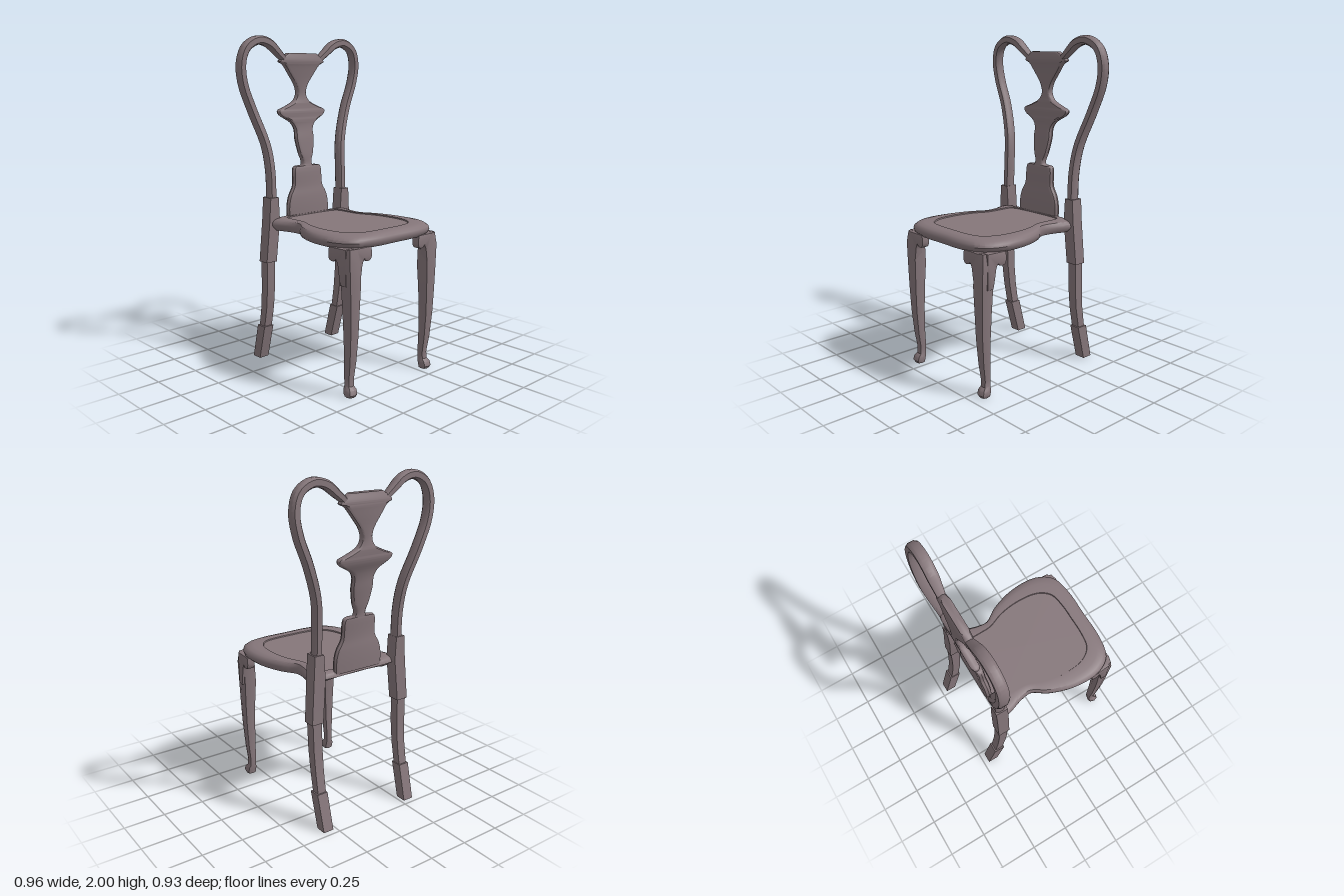
import * as THREE from 'three';
import { toCreasedNormals } from 'three/addons/utils/BufferGeometryUtils.js';

const wood = new THREE.MeshStandardMaterial({ color: 0x85767a });
const V = (x, y, z) => new THREE.Vector3(x, y, z);

// Skin a stack of equal-length rings, cap both ends, turn faces outward
function loft(name, rings, crease = 0.6) {
  const n = rings[0].length, pts = rings.flat(), idx = [];
  for (let i = 0; i < rings.length - 1; i++) {
    for (let j = 0; j < n; j++) {
      const k = (j + 1) % n, a = i * n + j, b = i * n + k, c = a + n, d = b + n;
      idx.push(a, b, d, a, d, c);
    }
  }
  const cap = (start, flip) => {
    const mid = V(0, 0, 0);
    for (let j = 0; j < n; j++) mid.addScaledVector(pts[start + j], 1 / n);
    const m = pts.push(mid) - 1;
    for (let j = 0; j < n; j++) {
      const a = start + j, b = start + (j + 1) % n;
      if (flip) idx.push(m, b, a); else idx.push(m, a, b);
    }
  };
  cap(0, true);
  cap((rings.length - 1) * n, false);
  let volume = 0;
  for (let i = 0; i < idx.length; i += 3) {
    volume += pts[idx[i]].dot(V(0, 0, 0).crossVectors(pts[idx[i + 1]], pts[idx[i + 2]]));
  }
  if (volume < 0) idx.reverse();
  const g = new THREE.BufferGeometry().setFromPoints(pts);
  g.setIndex(idx);
  const mesh = new THREE.Mesh(toCreasedNormals(g, crease), wood);
  mesh.name = name;
  return mesh;
}

// Closed smooth outline from the +x half, back centre to front centre
function outline(half, count) {
  const left = half.slice(1, -1).reverse().map(([x, z]) => [-x, z]);
  const curve = new THREE.CatmullRomCurve3([...half, ...left].map(([x, z]) => V(x, 0, z)), true);
  return Array.from({ length: count }, (_, i) => curve.getPoint(i / count));
}

function makeSeat() {
  const outer = outline([[0, -0.335], [0.24, -0.335], [0.31, -0.30], [0.275, -0.16], [0.268, -0.09], [0.325, 0],
    [0.376, 0.16], [0.373, 0.33], [0.31, 0.43], [0.18, 0.464], [0, 0.465]], 80);
  const inner = outline([[0, -0.292], [0.10, -0.29], [0.205, -0.27], [0.215, -0.18], [0.22, -0.09], [0.258, 0.01],
    [0.277, 0.14], [0.26, 0.28], [0.205, 0.35], [0.11, 0.37], [0, 0.372]], 80);
  // [0 = outer edge .. 1 = panel edge, height], from panel over the rim to the underside
  const profile = [[1, 0.905], [0.98, 0.912], [0.5, 0.912], [0.2, 0.905], [0.04, 0.89], [0, 0.876],
    [0.05, 0.857], [0.2, 0.842], [0.45, 0.84], [0.8, 0.84], [0.85, 0.885]];
  return loft('seat', profile.map(([t, y]) => outer.map((p, i) => {
    const q = p.clone().lerp(inner[i], t);
    const thin = THREE.MathUtils.clamp((-0.28 - q.z) / 0.04, 0, 1);
    q.y = y < 0.88 ? THREE.MathUtils.lerp(y, 0.88, thin) : y;
    return q;
  })));
}

// Centre depth of the back at a given height
const backCurve = new THREE.SplineCurve([[0.9, -0.32], [1.05, -0.322], [1.2, -0.328], [1.4, -0.352], [1.58, -0.378],
  [1.75, -0.378], [1.9, -0.368], [2.0, -0.362]].map(p => new THREE.Vector2(...p)));
function backZ(y) {
  let lo = 0, hi = 1;
  for (let i = 0; i < 20; i++) {
    const m = (lo + hi) / 2;
    if (backCurve.getPoint(m).x < y) lo = m; else hi = m;
  }
  return backCurve.getPoint(lo).y;
}

function makeSplat() {
  // [half width, height]
  const side = [[0.165, 0.895], [0.165, 0.97], [0.15, 1.03], [0.118, 1.09], [0.112, 1.19], [0.10, 1.21], [0.042, 1.215],
    [0.035, 1.24], [0.055, 1.29], [0.073, 1.38], [0.073, 1.44], [0.095, 1.48], [0.18, 1.532], [0.187, 1.555],
    [0.13, 1.58], [0.06, 1.615], [0.035, 1.655], [0.043, 1.70], [0.10, 1.78], [0.145, 1.835], [0.178, 1.852],
    [0.172, 1.865], [0.115, 1.905]];
  const curve = new THREE.CatmullRomCurve3(side.map(([w, y]) => V(w, y, 0)), false, 'centripetal');
  return loft('backSplat', curve.getPoints(88).map(({ x: w, y }) => {
    const r = Math.min(0.025, w * 0.4), h = 0.024, z = backZ(y);
    const quarter = [[w, 0], [w - r * 0.3, h * 0.7], [w - r, h]];
    const front = [...quarter, ...quarter.slice().reverse().map(([x, d]) => [-x, d])];
    const back = [...quarter.slice(1).map(([x, d]) => [-x, -d]), ...quarter.slice(1).reverse().map(([x, d]) => [x, -d])];
    return [...front, ...back].map(([x, d]) => V(x, y, z + d));
  }), 0.7);
}

// Curved upright that loops over into the top of the splat
function makeHoop(s) {
  const path = new THREE.CatmullRomCurve3([[0.287, 1.0], [0.287, 1.2], [0.305, 1.36], [0.375, 1.56], [0.437, 1.72],
    [0.452, 1.84], [0.42, 1.93], [0.34, 1.974], [0.26, 1.96], [0.19, 1.908], [0.125, 1.855]]
    .map(([x, y]) => V(s * x, y, backZ(y))), false, 'centripetal');
  const section = [[1, 0.5], [0.6, 1], [-0.6, 1], [-1, 0.5], [-1, -0.5], [-0.6, -1], [0.6, -1], [1, -0.5]];
  const rings = [];
  for (let i = 0; i <= 44; i++) {
    const t = i / 44, p = path.getPoint(t), T = path.getTangent(t);
    const N = V(0, 0, 0).crossVectors(T, V(0, 0, 1)).normalize();
    const B = V(0, 0, 0).crossVectors(T, N).normalize();
    const k = t > 0.85 ? 1 - (t - 0.85) * 2.2 : 1;
    rings.push(section.map(([a, b]) => p.clone().addScaledVector(N, a * 0.026 * k).addScaledVector(B, b * 0.031 * k)));
  }
  return loft('backUpright', rings);
}

// Square-section post; rows are [y, x, z, width, depth]
const post = (name, s, rows) => loft(name, rows.map(([y, x, z, w, d]) =>
  [[1, 1], [1, -1], [-1, -1], [-1, 1]].map(([a, b]) => V(s * (x + a * w / 2), y, z + b * d / 2))), 0.5);

function makeBackLeg(s) {
  const g = new THREE.Group();
  g.name = 'backLeg';
  g.add(
    post('postBlock', s, [[0.64, 0.31, -0.333, 0.075, 0.075], [0.9, 0.29, -0.323, 0.077, 0.077], [1.04, 0.29, -0.321, 0.06, 0.077]]),
    post('lowerLeg', s, [[0.18, 0.305, -0.383, 0.055, 0.05], [0.25, 0.305, -0.37, 0.055, 0.052], [0.35, 0.305, -0.352, 0.056, 0.055],
      [0.48, 0.307, -0.339, 0.058, 0.058], [0.66, 0.309, -0.333, 0.06, 0.06]]),
    post('foot', s, [[0, 0.304, -0.433, 0.066, 0.066], [0.22, 0.307, -0.375, 0.068, 0.07]]));
  return g;
}

function makeFrontLeg(s) {
  const g = new THREE.Group();
  g.name = 'frontLeg';
  // Cabriole shaft with a pad foot curling out at the corner: [y, x, z, radius]
  const rows = [[0.85, 0.308, 0.4, 0.053], [0.78, 0.318, 0.41, 0.051], [0.65, 0.312, 0.41, 0.051], [0.5, 0.313, 0.412, 0.044],
    [0.35, 0.312, 0.411, 0.038], [0.2, 0.31, 0.403, 0.031], [0.1, 0.308, 0.392, 0.025], [0.06, 0.309, 0.394, 0.025],
    [0.042, 0.312, 0.404, 0.034], [0.016, 0.314, 0.41, 0.035], [0, 0.312, 0.406, 0.029]];
  g.add(loft('cabrioleLeg', rows.map(([y, x, z, r]) => Array.from({ length: 8 }, (_, i) => {
    const a = i * Math.PI / 4, k = i % 2 ? 1.08 : 0.98;
    return V(s * (x + Math.cos(a) * r * k), y, z + Math.sin(a) * r * k);
  })), 0.7));
  // Scrolled ears running along the front and the side under the seat
  const ear = new THREE.Shape();
  ear.moveTo(0, 0.845);
  ear.lineTo(0.115, 0.845);
  ear.quadraticCurveTo(0.13, 0.78, 0.10, 0.776);
  ear.quadraticCurveTo(0.075, 0.775, 0.07, 0.795);
  ear.quadraticCurveTo(0.045, 0.77, 0.045, 0.73);
  ear.lineTo(0.03, 0.65);
  ear.lineTo(0, 0.65);
  const geo = new THREE.ExtrudeGeometry(ear, { depth: 0.034, bevelSize: 0.006, bevelThickness: 0.008, bevelSegments: 2, curveSegments: 5 });
  geo.translate(0, 0, -0.017);
  [[V(0.315, 0, 0.425), V(-1, 0, 0.02)], [V(0.342, 0, 0.415), V(0.06, 0, -1)]].forEach(([o, dir]) => {
    const m = new THREE.Mesh(toCreasedNormals(geo, 0.7), wood);
    m.name = 'kneeEar';
    m.position.set(s * o.x, 0, o.z);
    m.rotation.y = Math.atan2(-dir.z, s * dir.x);
    g.add(m);
  });
  return g;
}

export function createModel() {
  const chair = new THREE.Group();
  chair.name = 'chair';
  chair.add(makeSeat(), makeSplat());
  for (const s of [1, -1]) chair.add(makeHoop(s), makeBackLeg(s), makeFrontLeg(s));
  return chair;
}
